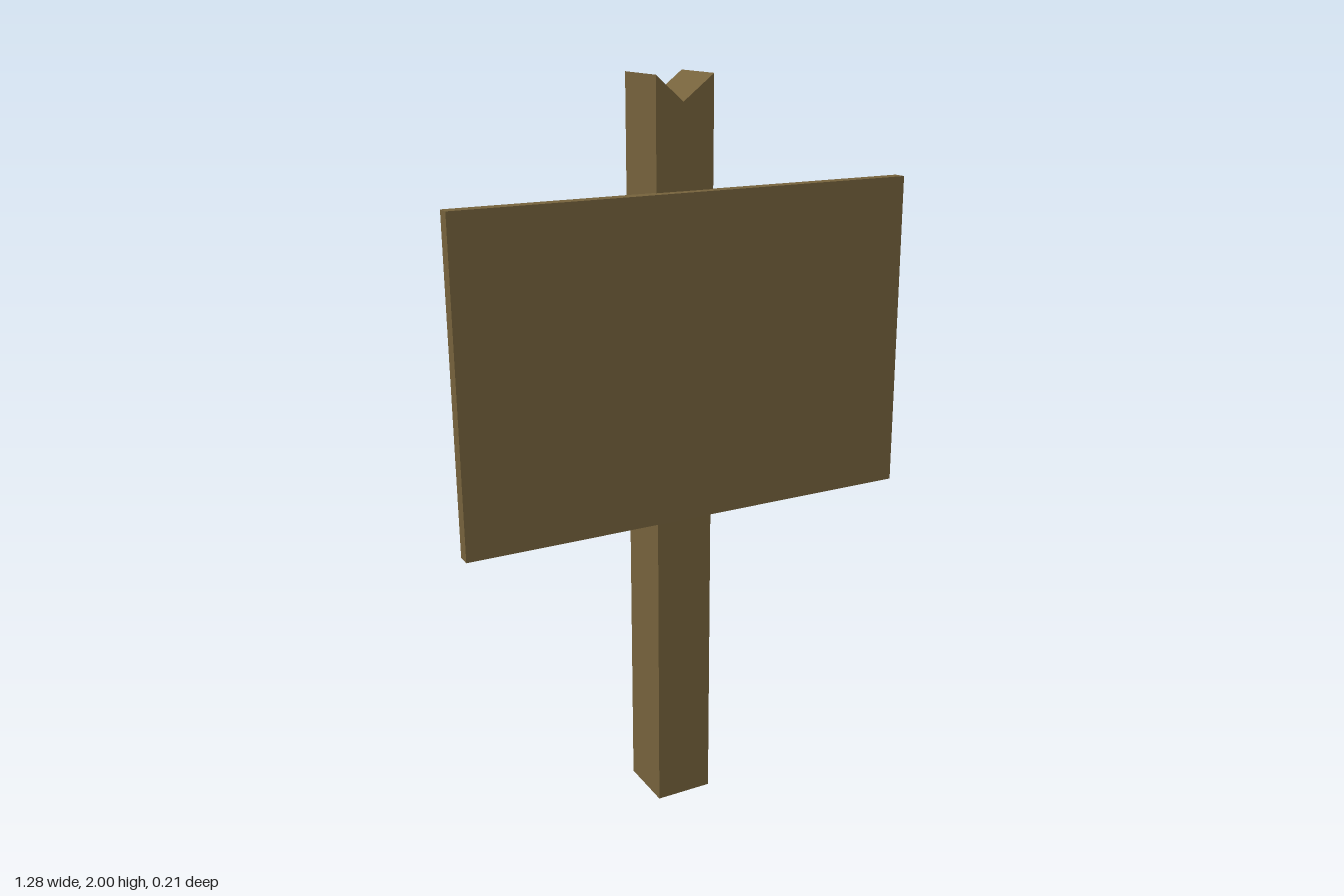
import * as THREE from 'three';

export function createModel() {
  const model = new THREE.Group();
  model.name = 'signpost';
  const wood = new THREE.MeshStandardMaterial({ color: 0x75623c });
  wood.name = 'brown wood';

  // Square post with a V-shaped notch cut across its top
  const outline = new THREE.Shape(
    [[-0.09, 0], [0.07, 0], [0.07, 2], [-0.015, 1.935], [-0.09, 2]]
      .map(([x, y]) => new THREE.Vector2(x, y))
  );
  const postGeometry = new THREE.ExtrudeGeometry(outline, { depth: 0.166, bevelEnabled: false });
  const post = new THREE.Mesh(postGeometry, wood);
  post.name = 'post';
  post.position.z = -0.103;
  model.add(post);

  // Flat board on the front of the post, leaning back slightly
  const board = new THREE.Mesh(new THREE.BoxGeometry(1.28, 0.857, 0.037), wood);
  board.name = 'board';
  board.position.set(0, 1.292, 0.079);
  board.rotation.x = -0.011;
  model.add(board);

  return model;
}
